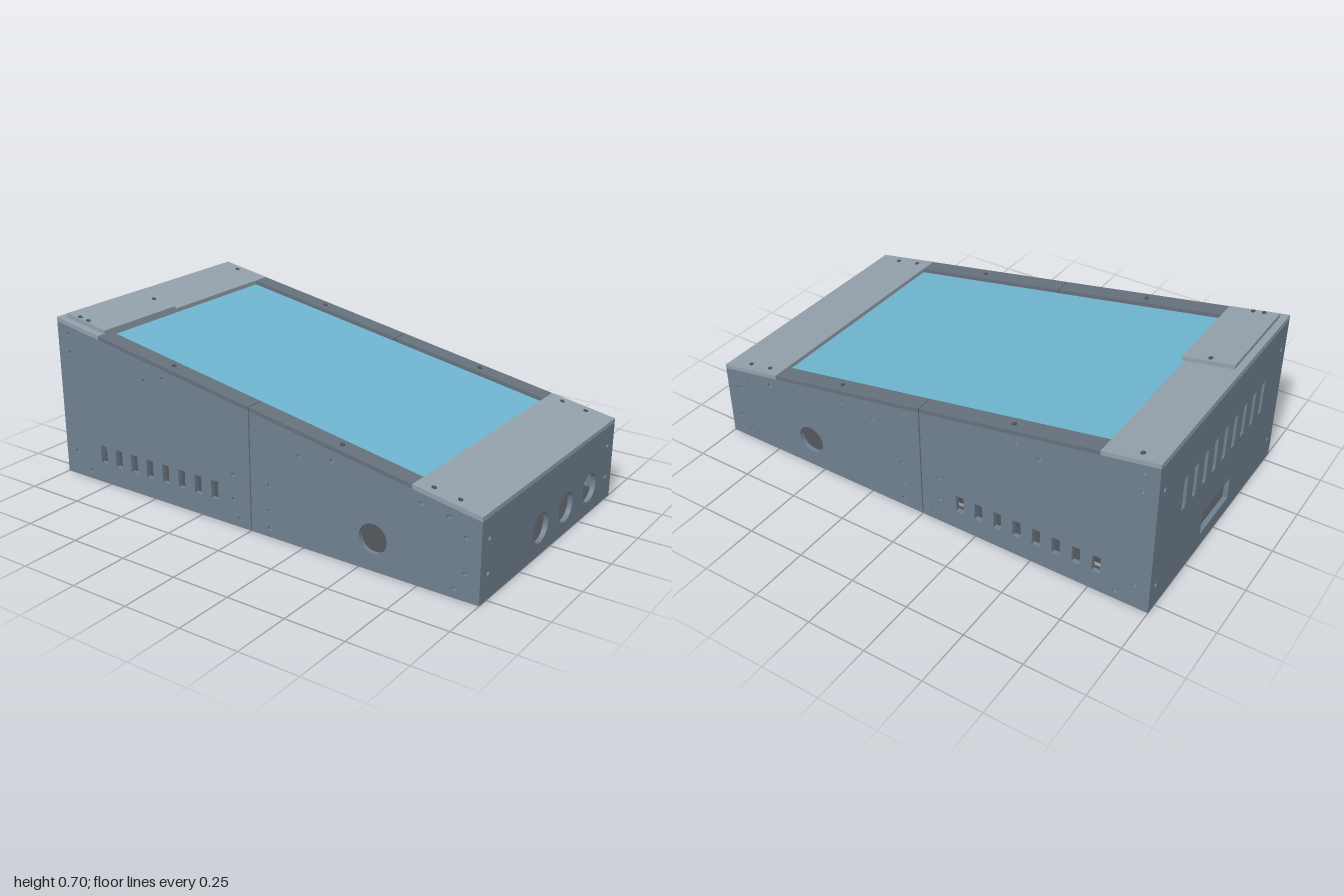
import * as THREE from 'three';
import { RoundedBoxGeometry } from 'three/addons/geometries/RoundedBoxGeometry.js';

const W = 0.55, T = 0.02, SLOPE = 0.175;
const wallTop = z => 0.497 - SLOPE * z;
const LID = 0.515; // height of the lid surface at z = 0

const mat = color => new THREE.MeshStandardMaterial({ color });
const wallMat = mat(0x708090), lidMat = mat(0x93a1ab), railMat = mat(0x66717d), screwMat = mat(0x4a545e);
const screenMat = mat(0x6fb5d0), floorMat = mat(0x4a4f54), greenMat = mat(0x5fae8c), orangeMat = mat(0xc08a40);

function mesh(geometry, material, name) {
  const m = new THREE.Mesh(geometry, material);
  m.name = name;
  return m;
}

// Tilts a flat-built geometry to follow the sloping top
function shear(geo) {
  const p = geo.attributes.position;
  for (let i = 0; i < p.count; i++) p.setY(i, p.getY(i) + LID - SLOPE * p.getZ(i));
  geo.computeVertexNormals();
  return geo;
}

// Sloped slab; y0 and y1 are measured from the lid surface
function slab(x0, x1, z0, z1, y0, y1, material, name) {
  const g = new THREE.BoxGeometry(x1 - x0, y1 - y0, z1 - z0);
  g.translate((x0 + x1) / 2, (y0 + y1) / 2, (z0 + z1) / 2);
  return mesh(shear(g), material, name);
}

function polygon(points) {
  return new THREE.Shape(points.map(([x, y]) => new THREE.Vector2(x, y)));
}

function roundHole(shape, x, y, r) {
  const p = new THREE.Path();
  p.absarc(x, y, r, 0, Math.PI * 2, true);
  shape.holes.push(p);
}

function rectHole(shape, x, y, w, h) {
  const a = w / 2, b = h / 2;
  shape.holes.push(new THREE.Path([[x - a, y - b], [x - a, y + b], [x + a, y + b], [x + a, y - b]]
    .map(([u, v]) => new THREE.Vector2(u, v))));
}

const extrude = shape => new THREE.ExtrudeGeometry(shape, { depth: T, bevelEnabled: false, curveSegments: 16 });

// Side wall in two halves with a fine joint at the middle
function sideWall(xOuter, name) {
  const group = new THREE.Group();
  group.name = name;
  const half = (z0, z1) => polygon([[z0, 0], [z1, 0], [z1, wallTop(z1)], [z0, wallTop(z0)]]);
  const front = half(0.003, 1), rear = half(-1, -0.003);
  roundHole(front, 0.56, 0.13, 0.06);
  for (let i = 0; i < 8; i++) rectHole(rear, -0.18 - i * 0.0857, 0.127, 0.035, 0.078);
  const screws = [[0.94, 0.245], [0.94, 0.105], [0.9, 0.035], [0.87, 0.305], [0.76, 0.325], [0.38, 0.39],
    [0.23, 0.37], [0.09, 0.215], [0.09, 0.11], [0.09, 0.035], [-0.055, 0.035], [-0.085, 0.215], [-0.085, 0.11],
    [-0.43, 0.535], [-0.53, 0.505], [-0.86, 0.035], [-0.94, 0.105], [-0.94, 0.545], [-0.94, 0.625]];
  screws.forEach(([z, y]) => roundHole(z > 0 ? front : rear, z, y, 0.009));
  [[front, 'sidePanelFront'], [rear, 'sidePanelRear']].forEach(([shape, n]) => {
    const g = extrude(shape).rotateY(-Math.PI / 2);
    g.translate(xOuter > 0 ? xOuter : xOuter + T, 0, 0);
    group.add(mesh(g, wallMat, n));
  });
  return group;
}

// Flat end wall between the side walls
function endWall(height, z, name, cut) {
  const w = W - T;
  const shape = polygon([[-w, 0], [w, 0], [w, height], [-w, height]]);
  cut(shape);
  return mesh(extrude(shape).translate(0, 0, z), wallMat, name);
}

function screw(x, z, top) {
  const g = new THREE.CylinderGeometry(0.009, 0.009, 0.008, 12);
  g.translate(x, top, z);
  return mesh(shear(g), screwMat, 'screw');
}

export function createModel() {
  const model = new THREE.Group();

  // Walls with ports, vents and screw holes
  model.add(sideWall(W, 'leftWall'), sideWall(-W, 'rightWall'));
  model.add(endWall(wallTop(1), 1 - T, 'frontWall', s => {
    [-0.087, 0.125, 0.34].forEach(x => roundHole(s, x, 0.112, 0.061));
    for (const x of [-0.495, 0.495]) for (const y of [0.105, 0.24]) roundHole(s, x, y, 0.009);
  }));
  model.add(endWall(wallTop(-1) - 0.004, -1, 'rearWall', s => {
    for (let i = 0; i < 9; i++) rectHole(s, -0.355 + i * 0.085, 0.408, 0.03, 0.145);
    rectHole(s, 0.005, 0.115, 0.25, 0.105);
    for (const x of [-0.505, 0.505]) for (const y of [0.105, 0.55]) roundHole(s, x, y, 0.009);
  }));

  // Floor in two halves, with slots in the rear half
  for (const [z0, z1, name] of [[-0.98, -0.002, 'floorRear'], [0.002, 0.98, 'floorFront']]) {
    const w = W - T;
    const s = polygon([[-w, z0], [w, z0], [w, z1], [-w, z1]]);
    if (z0 < -0.5) for (const x of [-0.44, 0.44]) for (const z of [-0.755, -0.11]) rectHole(s, x, z, 0.035, 0.1);
    model.add(mesh(extrude(s).rotateX(Math.PI / 2).translate(0, T + 0.004, 0), floorMat, name));
  }

  // Sloping lid: end plates, side rails and recessed screen
  const lid = new THREE.Group();
  lid.name = 'lid';
  lid.add(slab(-W, W, 0.72, 1, -0.018, 0, lidMat, 'frontLidPlate'));
  lid.add(slab(-W, W, -1, -0.77, -0.018, 0, lidMat, 'rearLidPlate'));
  for (const s of [-1, 1]) {
    const x0 = s < 0 ? -W : 0.473, x1 = s < 0 ? -0.473 : W;
    lid.add(slab(x0, x1, 0.002, 0.72, -0.018, -0.001, railMat, 'sideRailFront'));
    lid.add(slab(x0, x1, -0.77, -0.002, -0.018, -0.001, railMat, 'sideRailRear'));
    [0.89, 0.785, 0.4, -0.4].forEach(z => lid.add(screw(s * 0.51, z, 0)));
  }
  lid.add(screw(0.51, -0.91, 0));
  lid.add(slab(-0.5, 0.5, -0.8, 0.74, -0.03, -0.02, screenMat, 'screen'));
  lid.add(slab(-0.5, 0.5, -0.7, 0.66, -0.16, -0.031, orangeMat, 'screenHousing'));

  // Small cover on the rear plate
  lid.add(slab(-0.52, -0.095, -0.97, -0.76, 0, 0.018, lidMat, 'cornerCover'));
  [[-0.505, -0.91], [-0.505, -0.865], [-0.115, -0.865]].forEach(([x, z]) => lid.add(screw(x, z, 0.018)));
  model.add(lid);

  // Rounded unit inside the case
  const unit = mesh(new RoundedBoxGeometry(0.8, 0.23, 0.86, 5, 0.1), greenMat, 'innerUnit');
  unit.position.set(0, 0.165, -0.4);
  model.add(unit);

  return model;
}
